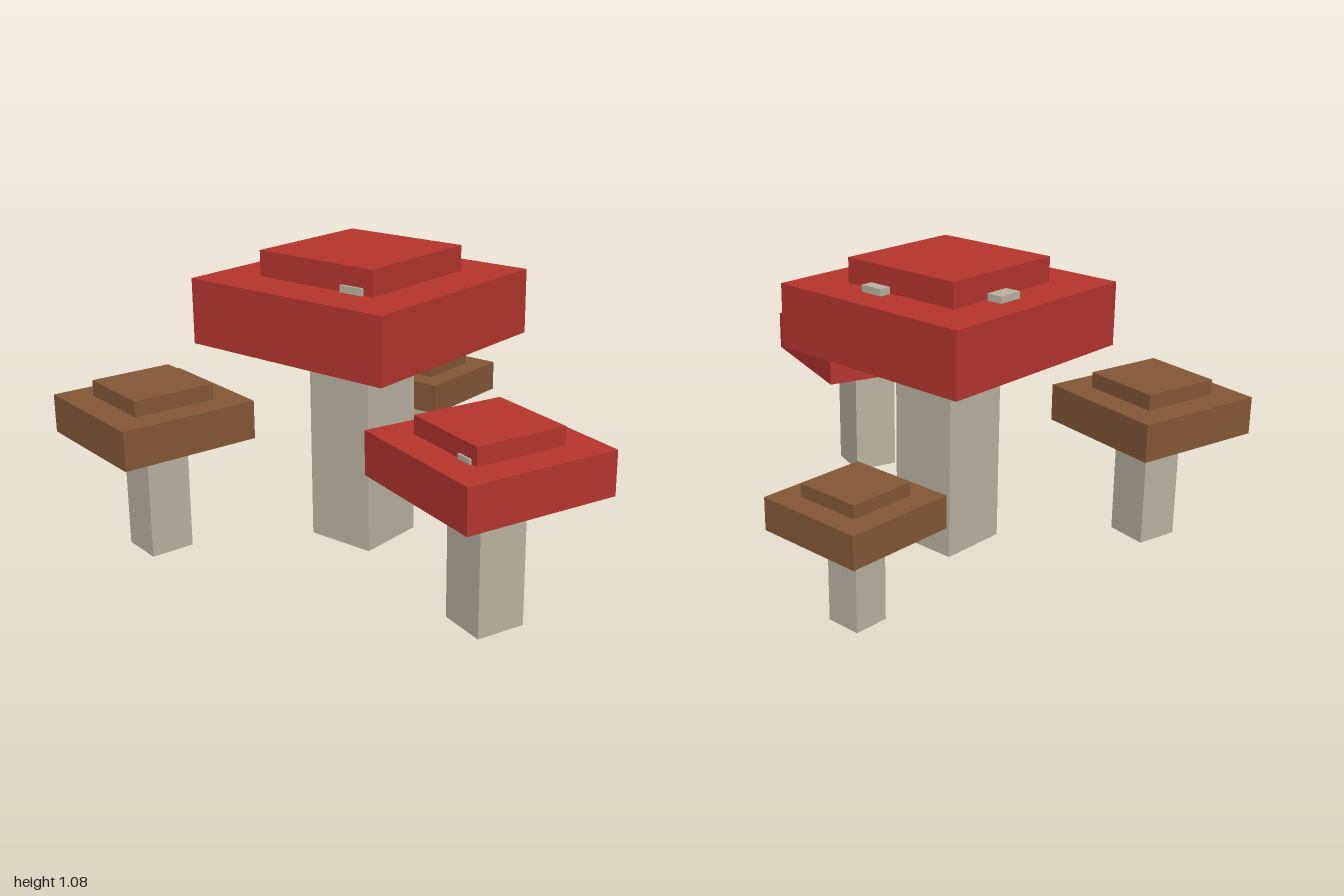
import * as THREE from 'three';

const material = (name, color) => {
  const m = new THREE.MeshStandardMaterial({ color });
  m.name = name;
  return m;
};

export function createModel() {
  const red = material('red cap', 0xb5342d);
  const brown = material('brown cap', 0x835736);
  const pale = material('pale stem', 0xbab2a1);

  // Box resting on height y0 and reaching y1
  const block = (name, w, d, y0, y1, mat, x = 0, z = 0) => {
    const mesh = new THREE.Mesh(new THREE.BoxGeometry(w, y1 - y0, d), mat);
    mesh.name = name;
    mesh.position.set(x, (y0 + y1) / 2, z);
    return mesh;
  };

  // Spots as fractions of the cap width: x, z, width, depth
  const spots = [
    [0.1, -0.333, 0.11, 0.054],
    [-0.343, -0.048, 0.073, 0.116],
    [0.198, 0.285, 0.11, 0.054],
  ];

  // Square mushroom: stem, wide cap, smaller crown and optional spots
  const mushroom = ({ name, x, z, turn, size, capY, crownY, topY, mat, spotted }) => {
    const g = new THREE.Group();
    g.name = name;
    g.position.set(x, 0, z);
    g.rotation.y = turn;
    g.add(
      block('stem', size * 0.319, size * 0.319, 0, capY, pale),
      block('cap', size, size, capY, crownY, mat),
      block('crown', size * 0.598, size * 0.598, crownY, topY, mat),
    );
    if (spotted) {
      for (const [sx, sz, w, d] of spots) {
        g.add(block('spot', w * size, d * size, crownY - 0.01, crownY + size * 0.03, pale, sx * size, sz * size));
      }
    }
    return g;
  };

  const model = new THREE.Group();
  model.name = 'mushroomCluster';
  model.add(
    mushroom({ name: 'largeRedMushroom', x: -0.084, z: 0.068, turn: -0.15, size: 0.84,
      capY: 0.752, crownY: 0.987, topY: 1.08, mat: red, spotted: true }),
    mushroom({ name: 'smallRedMushroom', x: 0.618, z: 0.488, turn: -0.494, size: 0.558,
      capY: 0.473, crownY: 0.625, topY: 0.688, mat: red, spotted: true }),
    mushroom({ name: 'frontBrownMushroom', x: -0.67, z: 0.535, turn: -0.368, size: 0.512,
      capY: 0.425, crownY: 0.565, topY: 0.623, mat: brown }),
    mushroom({ name: 'backBrownMushroom', x: -0.202, z: -0.635, turn: -0.147, size: 0.414,
      capY: 0.33, crownY: 0.447, topY: 0.494, mat: brown }),
  );
  return model;
}
